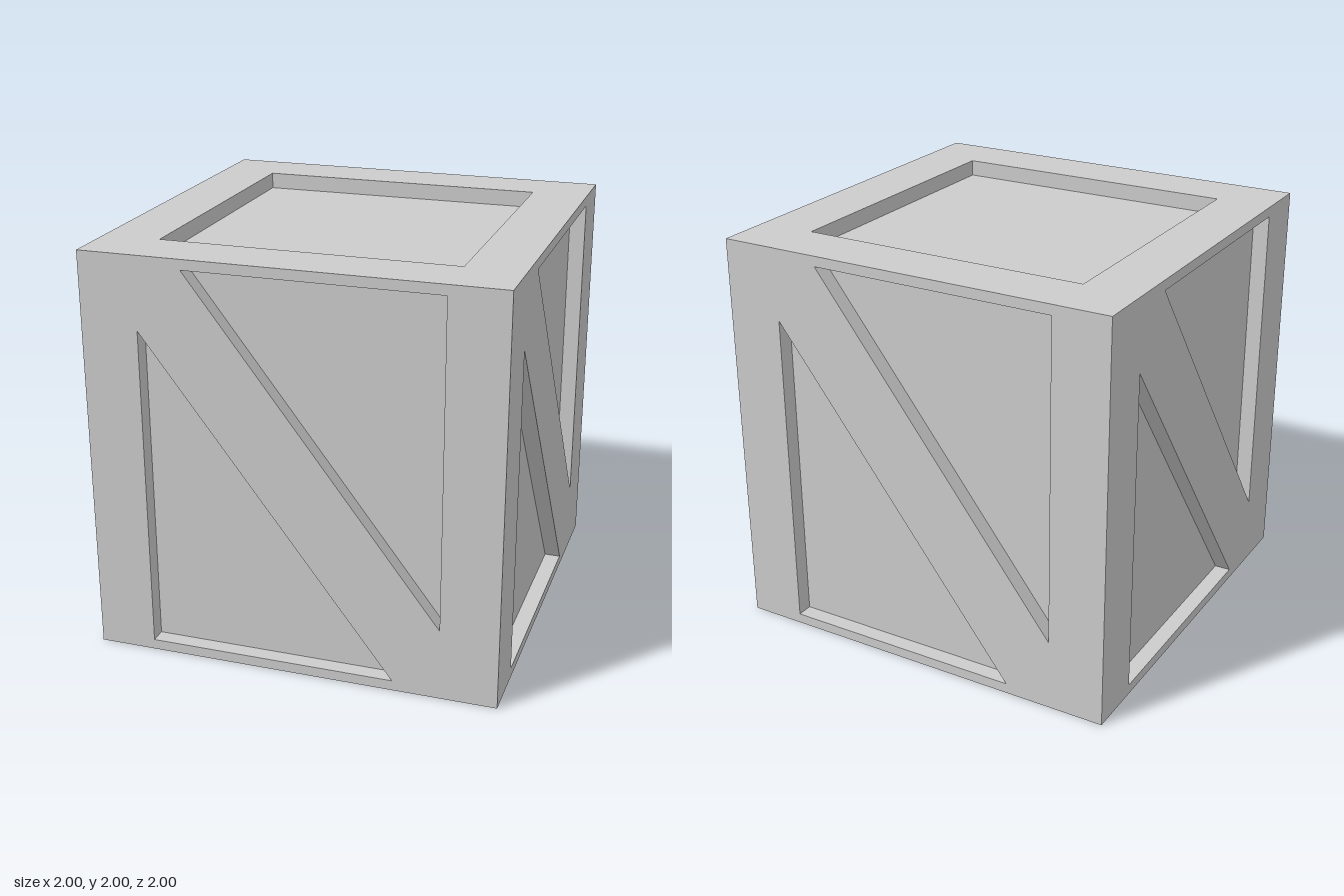
import * as THREE from 'three';

const HALF = 1;
const DEPTH = 0.08; // how far the panels are sunk behind the frame

const material = new THREE.MeshStandardMaterial({ color: 0xcccccc, flatShading: true });
const points = (list) => list.map(([x, y]) => new THREE.Vector2(x, y));

// Recess outlines, counter-clockwise, centred on a face
const upperTriangle = points([[-0.495, 0.95], [0.72, -0.645], [0.72, 0.95]]);
const lowerTriangle = upperTriangle.map((p) => p.clone().negate());
const square = points([[-0.72, -0.72], [0.72, -0.72], [0.72, 0.72], [-0.72, 0.72]]);

function addMesh(parent, name, geometry) {
  const mesh = new THREE.Mesh(geometry, material);
  mesh.name = name;
  parent.add(mesh);
  return mesh;
}

// Inward-facing walls running from the frame down to the sunken panel
function wallGeometry(outline) {
  const positions = [];
  outline.forEach((a, i) => {
    const b = outline[(i + 1) % outline.length];
    positions.push(
      a.x, a.y, 0, b.x, b.y, 0, b.x, b.y, -DEPTH,
      a.x, a.y, 0, b.x, b.y, -DEPTH, a.x, a.y, -DEPTH
    );
  });
  const geometry = new THREE.BufferGeometry();
  geometry.setAttribute('position', new THREE.Float32BufferAttribute(positions, 3));
  geometry.computeVertexNormals();
  return geometry;
}

// One crate face: flat frame with openings, plus a sunken panel in each opening
function createFace(name, outlines) {
  const face = new THREE.Group();
  face.name = name;
  const frame = new THREE.Shape(points([[-HALF, -HALF], [HALF, -HALF], [HALF, HALF], [-HALF, HALF]]));
  frame.holes = outlines.map((outline) => new THREE.Path(outline));
  addMesh(face, 'frame', new THREE.ShapeGeometry(frame));
  for (const outline of outlines) {
    addMesh(face, 'sunkenPanel', new THREE.ShapeGeometry(new THREE.Shape(outline))).position.z = -DEPTH;
    addMesh(face, 'recessWalls', wallGeometry(outline));
  }
  return face;
}

export function createModel() {
  const crate = new THREE.Group();
  crate.name = 'crate';

  // Four sides, each with a diagonal brace between two triangular recesses
  ['frontSide', 'leftSide', 'backSide', 'rightSide'].forEach((name, i) => {
    const angle = (i * Math.PI) / 2;
    const side = createFace(name, [upperTriangle, lowerTriangle]);
    side.rotation.y = angle;
    side.position.set(Math.sin(angle) * HALF, HALF, Math.cos(angle) * HALF);
    crate.add(side);
  });

  // Lid and base, each with a square recess
  const lid = createFace('lid', [square]);
  lid.rotation.x = -Math.PI / 2;
  lid.position.y = 2 * HALF;
  const base = createFace('base', [square]);
  base.rotation.x = Math.PI / 2;
  crate.add(lid, base);

  return crate;
}
